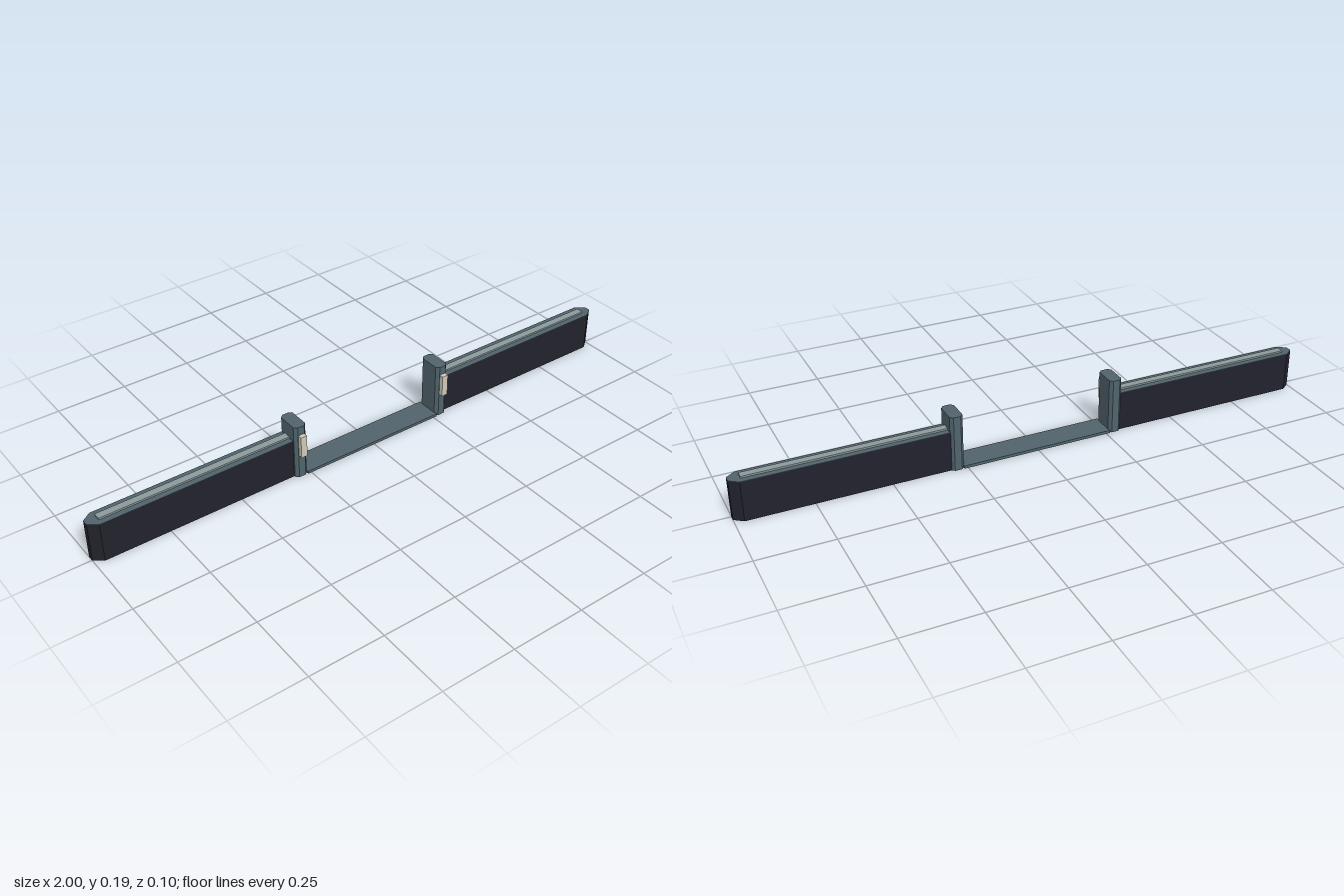
import * as THREE from 'three';

const mat = (name, color) => {
  const m = new THREE.MeshStandardMaterial({ color });
  m.name = name;
  return m;
};

// Upright prism whose plan is a rectangle with chamfered corners (cx along x, cz along z)
function prism(w, d, h, cx, cz) {
  const x = w / 2, z = d / 2;
  const plan = [
    [-x + cx, -z], [x - cx, -z], [x, -z + cz], [x, z - cz],
    [x - cx, z], [-x + cx, z], [-x, z - cz], [-x, -z + cz],
  ].map(([a, b]) => new THREE.Vector2(a, b));
  const g = new THREE.ExtrudeGeometry(new THREE.Shape(plan), { depth: h, bevelEnabled: false });
  return g.rotateX(-Math.PI / 2);
}

export function createModel() {
  const slate = mat('slate metal', 0x50636b);
  const dark = mat('dark panel', 0x22222d);
  const pale = mat('pale rail', 0x8b9a9b);
  const cream = mat('cream reader', 0xd0c9b8);

  const model = new THREE.Group();
  model.name = 'barrierGate';
  const add = (parent, name, geometry, material, x, y, z) => {
    const mesh = new THREE.Mesh(geometry, material);
    mesh.name = name;
    mesh.position.set(x, y, z);
    parent.add(mesh);
  };

  // Threshold between the posts
  add(model, 'threshold', new THREE.BoxGeometry(0.526, 0.01, 0.09), slate, 0, 0.005, -0.005);

  for (const s of [-1, 1]) {
    const side = new THREE.Group();
    side.name = s > 0 ? 'leftSide' : 'rightSide';
    model.add(side);

    // Low wall with pointed end, metal capping and raised top rail
    add(side, 'wall', prism(0.73, 0.065, 0.136, 0.03, 0.022), dark, s * 0.635, 0, -0.0085);
    add(side, 'wallCap', prism(0.73, 0.065, 0.0015, 0.03, 0.022), slate, s * 0.635, 0.136, -0.0085);
    add(side, 'topRail', new THREE.BoxGeometry(0.665, 0.006, 0.025), pale, s * 0.63, 0.1405, -0.0085);

    // Gate post with chamfered corners, and the reader on its front
    add(side, 'post', prism(0.044, 0.087, 0.192, 0.01, 0.01), slate, s * 0.283, 0, -0.0055);
    add(side, 'reader', new THREE.BoxGeometry(0.022, 0.077, 0.016), cream, s * 0.283, 0.1235, 0.045);
  }
  return model;
}
